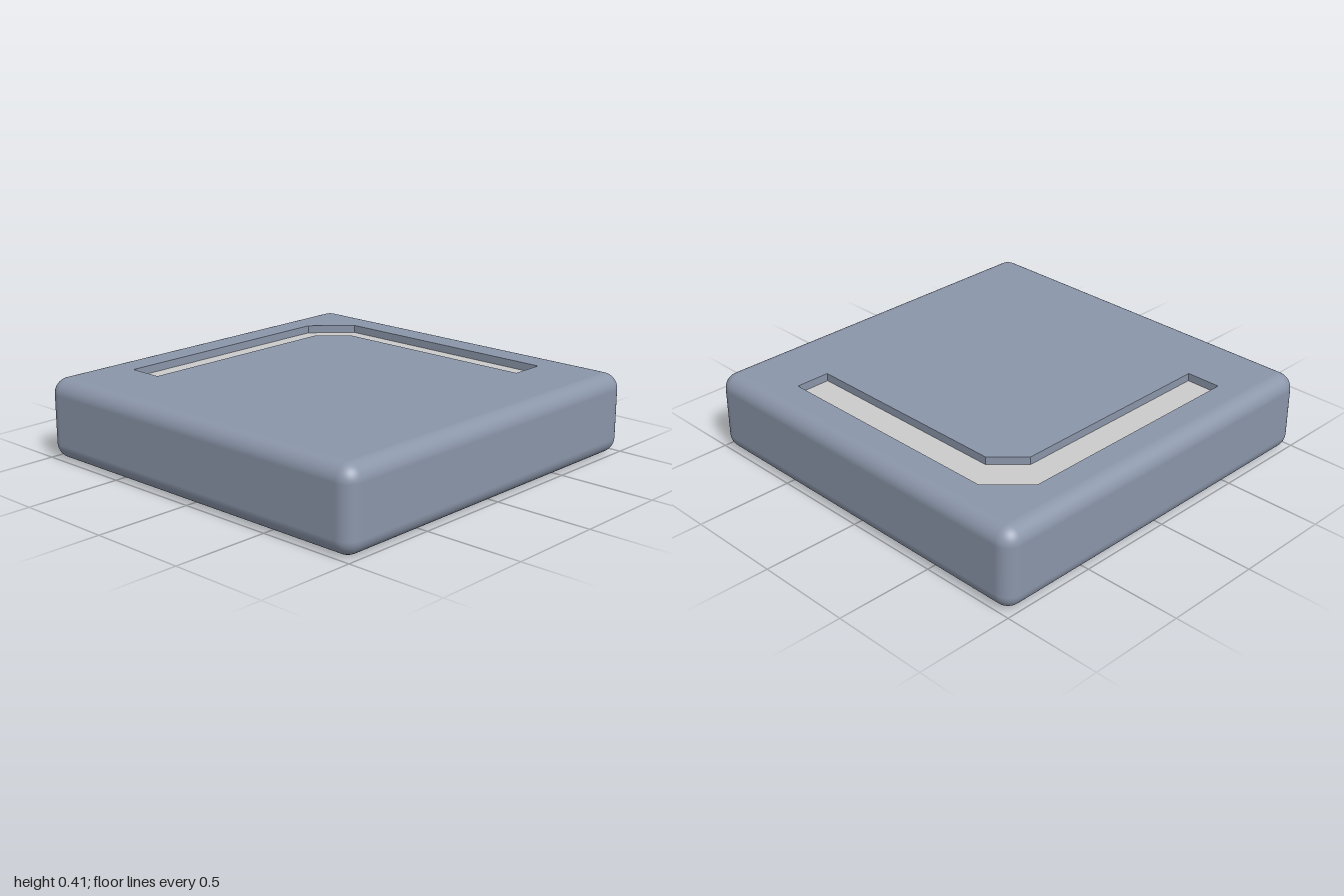
import * as THREE from 'three';
import { RoundedBoxGeometry } from 'three/addons/geometries/RoundedBoxGeometry.js';

const SIZE = 2, HEIGHT = 0.41, RADIUS = 0.08, DEPTH = 0.04;

// Groove outline seen from above, counter-clockwise (x, -z)
const GROOVE = [
  [-0.805, -0.62], [-0.625, -0.62], [-0.625, 0.485], [-0.485, 0.625],
  [0.62, 0.625], [0.62, 0.805], [-0.625, 0.805], [-0.805, 0.625],
].map(([x, y]) => new THREE.Vector2(x, y));

// Rounded slab without its flat top, which is replaced by a face with a hole
function shellGeometry() {
  const box = new RoundedBoxGeometry(SIZE, HEIGHT, SIZE, 6, RADIUS);
  const source = box.index ? box.toNonIndexed() : box;
  const p = source.attributes.position, n = source.attributes.normal;
  const positions = [], normals = [];
  for (let i = 0; i < p.count; i += 3) {
    const corners = [i, i + 1, i + 2];
    if (corners.every((k) => p.getY(k) > HEIGHT / 2 - 1e-4)) continue;
    for (const k of corners) {
      positions.push(p.getX(k), p.getY(k) + HEIGHT / 2, p.getZ(k));
      normals.push(n.getX(k), n.getY(k), n.getZ(k));
    }
  }
  const geometry = new THREE.BufferGeometry();
  geometry.setAttribute('position', new THREE.Float32BufferAttribute(positions, 3));
  geometry.setAttribute('normal', new THREE.Float32BufferAttribute(normals, 3));
  return geometry;
}

// Lays a flat shape down at height y, facing up
function flatGeometry(shape, y) {
  return new THREE.ShapeGeometry(shape).rotateX(-Math.PI / 2).translate(0, y, 0);
}

// Groove walls, facing into the groove
function wallGeometry() {
  const positions = [];
  const top = HEIGHT, bottom = HEIGHT - DEPTH;
  GROOVE.forEach((a, i) => {
    const b = GROOVE[(i + 1) % GROOVE.length];
    const quad = [[b, bottom], [a, bottom], [a, top], [b, top]];
    for (const k of [0, 1, 2, 0, 2, 3]) {
      const [v, y] = quad[k];
      positions.push(v.x, y, -v.y);
    }
  });
  const geometry = new THREE.BufferGeometry();
  geometry.setAttribute('position', new THREE.Float32BufferAttribute(positions, 3));
  geometry.computeVertexNormals();
  return geometry;
}

export function createModel() {
  const model = new THREE.Group();
  const slate = new THREE.MeshStandardMaterial({ color: 0x8b96aa });
  const grey = new THREE.MeshStandardMaterial({ color: 0xcccccc });

  const add = (name, geometry, material) => {
    const mesh = new THREE.Mesh(geometry, material);
    mesh.name = name;
    model.add(mesh);
  };

  // Top face with the groove cut out
  const h = SIZE / 2 - RADIUS;
  const topShape = new THREE.Shape([[-h, -h], [h, -h], [h, h], [-h, h]].map(([x, y]) => new THREE.Vector2(x, y)));
  topShape.holes.push(new THREE.Path(GROOVE));

  add('slabBody', shellGeometry(), slate);
  add('slabTop', flatGeometry(topShape, HEIGHT), slate);
  add('grooveWalls', wallGeometry(), slate);
  add('grooveFloor', flatGeometry(new THREE.Shape(GROOVE), HEIGHT - DEPTH), grey);
  return model;
}
